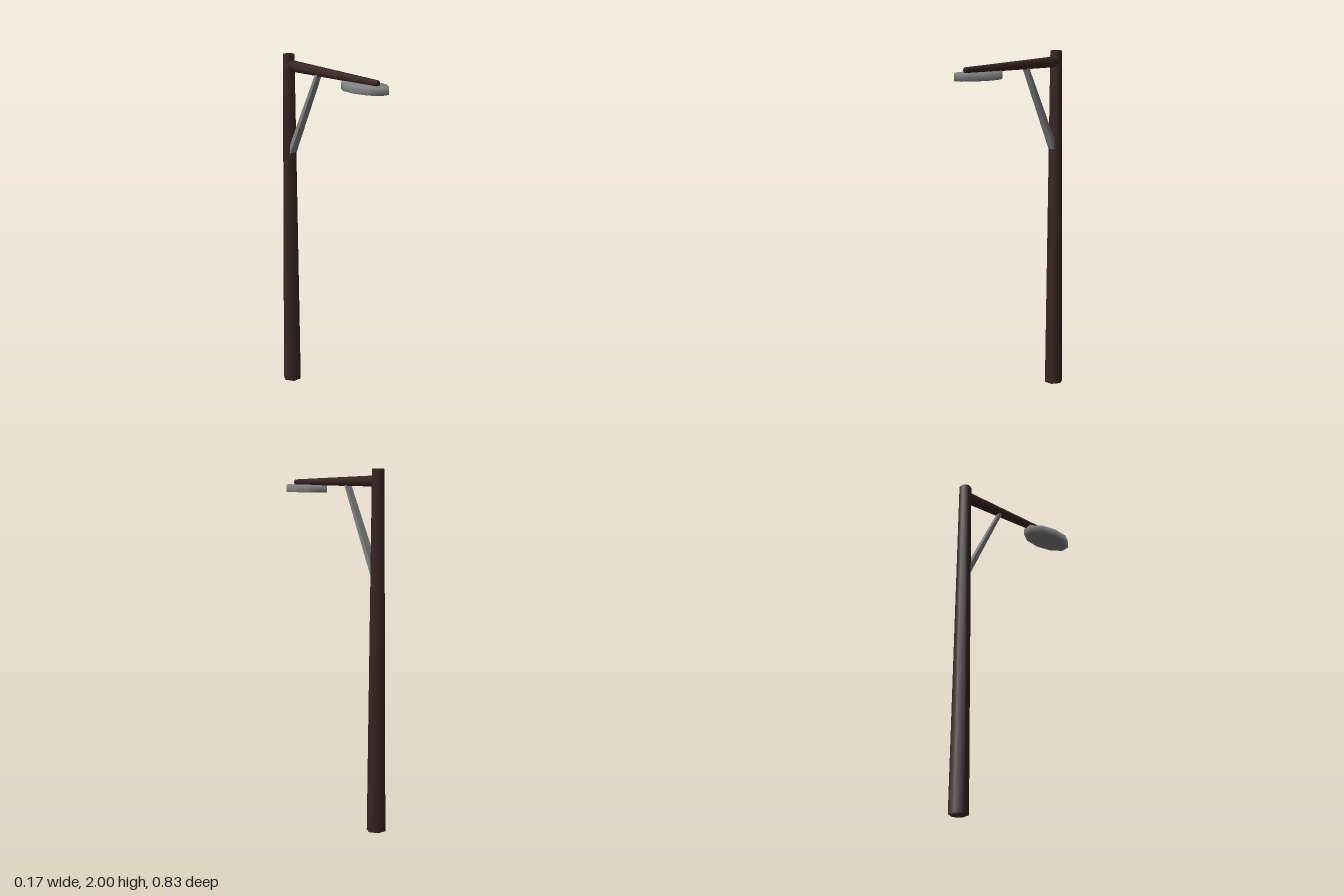
import * as THREE from 'three';

// Solid of revolution with a corner on the +x axis
function turned(points, sides) {
  const profile = points.map(([r, y]) => new THREE.Vector2(r, y));
  return new THREE.LatheGeometry(profile, sides, Math.PI / 2);
}

// Closed tapered bar with its base at the origin, running up y
function taperedBar(r0, r1, length, sides) {
  return turned([[0, 0], [r0, 0], [r1, length], [0, length]], sides);
}

export function createModel() {
  const brown = new THREE.MeshStandardMaterial({ color: 0x3a2525 });
  brown.name = 'dark brown';
  const gray = new THREE.MeshStandardMaterial({ color: 0x808281 });
  gray.name = 'metal gray';

  const group = new THREE.Group();
  group.name = 'streetLamp';
  const add = (name, geometry, material) => {
    const mesh = new THREE.Mesh(geometry, material);
    mesh.name = name;
    group.add(mesh);
    return mesh;
  };
  // Turns a bar so that it runs between two points in the x = 0 plane
  const span = (mesh, [y0, z0], [y1, z1]) => {
    mesh.position.set(0, y0, z0);
    mesh.rotation.x = Math.atan2(z1 - z0, y1 - y0);
  };

  // Six-sided pole
  const poleZ = -0.366;
  const pole = add('pole', taperedBar(0.055, 0.035, 2, 6), brown);
  pole.position.z = poleZ;

  // Arm reaching forward over the lamp
  const armStart = [1.936, poleZ], armEnd = [1.921, 0.355];
  const armLength = Math.hypot(armEnd[0] - armStart[0], armEnd[1] - armStart[1]);
  const arm = add('arm', taperedBar(0.034, 0.018, armLength, 6), brown);
  span(arm, armStart, armEnd);

  // Flat tapered brace between pole and arm
  const braceStart = [1.425, -0.35], braceEnd = [1.915, -0.112];
  const braceLength = Math.hypot(braceEnd[0] - braceStart[0], braceEnd[1] - braceStart[1]);
  const braceGeometry = new THREE.BoxGeometry(0.046, braceLength, 0.028);
  braceGeometry.translate(0, braceLength / 2, 0);
  const p = braceGeometry.attributes.position;
  for (let i = 0; i < p.count; i++) {
    if (p.getY(i) > 0.1) p.setXYZ(i, p.getX(i) * 0.75, p.getY(i), p.getZ(i) * 0.65);
  }
  braceGeometry.computeVertexNormals();
  span(add('brace', braceGeometry, gray), braceStart, braceEnd);

  // Oval lamp head, hollowed underneath
  const headGeometry = turned(
    [[0, 0.02], [0.78, 0.02], [0.86, 0], [1, 0], [1, 0.042], [0, 0.042]], 10);
  headGeometry.scale(0.087, 1, 0.163);
  const head = add('lampHead', headGeometry, gray);
  head.position.set(0, 1.866, 0.257);

  return group;
}
